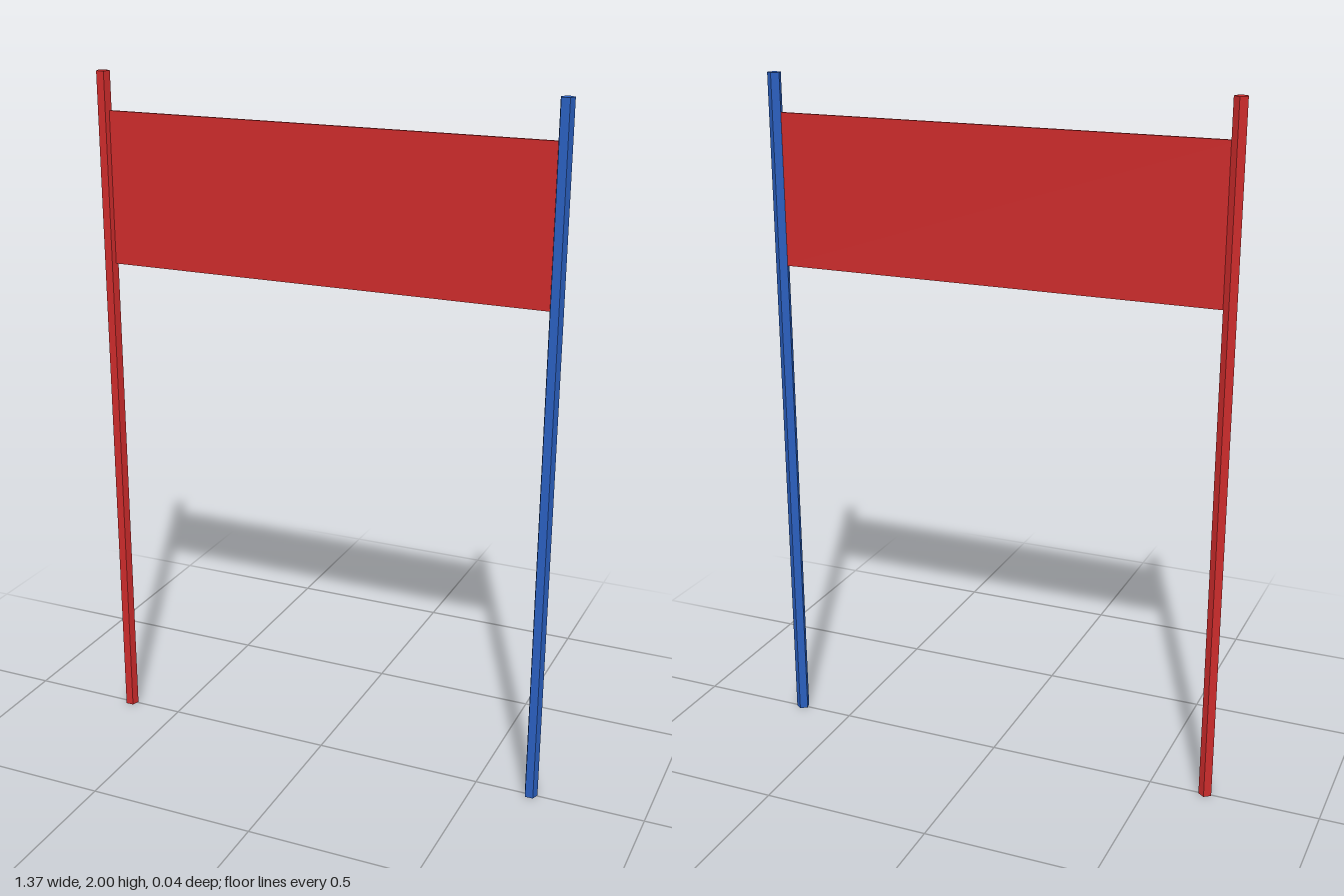
import * as THREE from 'three';

const HEIGHT = 2, POLE_RADIUS = 0.02, POLE_X = 0.667;
const BANNER_BOTTOM = 1.45, BANNER_TOP = 1.89, BANNER_DEPTH = 0.008;

function material(name, color) {
  const m = new THREE.MeshStandardMaterial({ color });
  m.name = name;
  return m;
}

export function createModel() {
  const group = new THREE.Group();
  group.name = 'gate';
  const red = material('red', 0xcc2b2b);
  const blue = material('blue', 0x2a5fbf);

  function add(name, geometry, mat, x, y, z) {
    const mesh = new THREE.Mesh(geometry, mat);
    mesh.name = name;
    mesh.position.set(x, y, z);
    group.add(mesh);
  }

  // Five-sided poles with a corner pointing back; hard edges come from split normals
  const pole = new THREE.CylinderGeometry(POLE_RADIUS, POLE_RADIUS, HEIGHT, 5)
    .rotateY(Math.PI).toNonIndexed();
  pole.computeVertexNormals();
  const poleZ = POLE_RADIUS * (1 - Math.cos(Math.PI / 5)) / 2;
  add('rightPole', pole, red, -POLE_X, HEIGHT / 2, poleZ);
  add('leftPole', pole, blue, POLE_X, HEIGHT / 2, poleZ);

  // Thin banner running between the poles
  const banner = new THREE.BoxGeometry(2 * POLE_X, BANNER_TOP - BANNER_BOTTOM, BANNER_DEPTH);
  add('banner', banner, red, 0, (BANNER_TOP + BANNER_BOTTOM) / 2, 0);

  return group;
}
